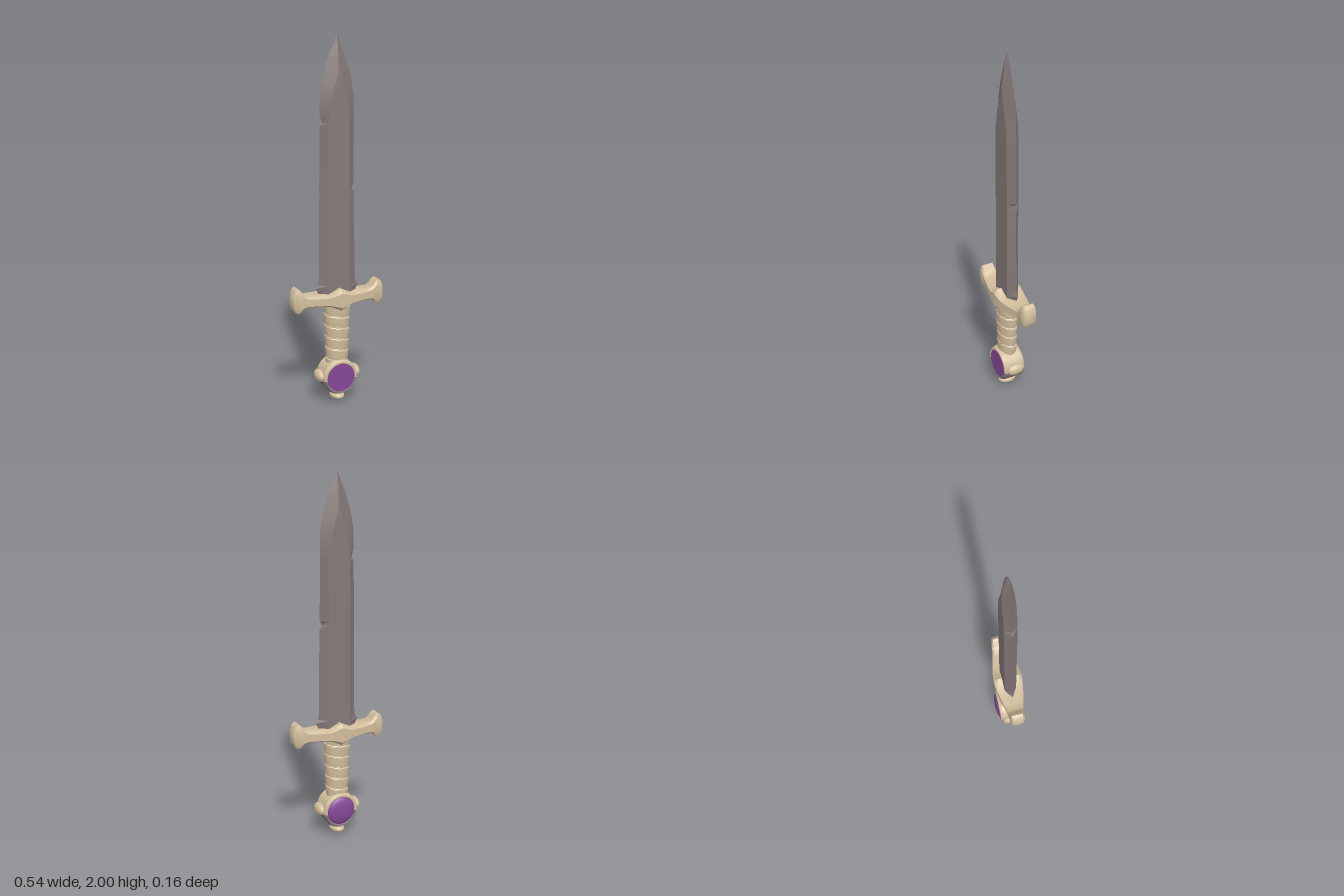
import * as THREE from 'three';
import { toCreasedNormals } from 'three/addons/utils/BufferGeometryUtils.js';

// Skin over a list of equal-length rings, with both ends closed
function loft(rings, crease) {
  const pos = [];
  const tri = (a, b, c) => pos.push(...a, ...b, ...c);
  const n = rings[0].length;
  for (let i = 0; i < rings.length - 1; i++) {
    for (let j = 0; j < n; j++) {
      const k = (j + 1) % n, lo = rings[i], hi = rings[i + 1];
      tri(lo[j], lo[k], hi[k]);
      tri(lo[j], hi[k], hi[j]);
    }
  }
  const first = rings[0], last = rings[rings.length - 1];
  for (let j = 1; j < n - 1; j++) {
    tri(first[0], first[j + 1], first[j]);
    tri(last[0], last[j], last[j + 1]);
  }
  const g = new THREE.BufferGeometry();
  g.setAttribute('position', new THREE.Float32BufferAttribute(pos, 3));
  return toCreasedNormals(g, crease);
}

export function createModel() {
  const group = new THREE.Group();
  const material = (name, color) => {
    const m = new THREE.MeshStandardMaterial({ color });
    m.name = name;
    return m;
  };
  const steel = material('steel', 0x857979);
  const bone = material('bone', 0xd2bf9d);
  const purple = material('purple', 0x854896);
  const add = (name, geometry, mat) => {
    const mesh = new THREE.Mesh(geometry, mat);
    mesh.name = name;
    group.add(mesh);
    return mesh;
  };

  // Blade: six-sided section with a nick in each edge [y, left, right, flat half width, half depth]
  const blade = [
    [0.62, 0.105, 0.105, 0.065, 0.034],
    [0.65, 0.115, 0.115, 0.065, 0.034],
    [0.665, 0.125, 0.125, 0.065, 0.034],
    [0.685, 0.11, 0.11, 0.065, 0.034],
    [0.72, 0.105, 0.106, 0.064, 0.034],
    [1.18, 0.1, 0.1, 0.061, 0.034],
    [1.21, 0.1, 0.085, 0.061, 0.034],
    [1.23, 0.1, 0.098, 0.061, 0.034],
    [1.54, 0.097, 0.095, 0.06, 0.034],
    [1.56, 0.083, 0.095, 0.06, 0.034],
    [1.6, 0.096, 0.095, 0.058, 0.034],
    [1.7, 0.094, 0.094, 0.038, 0.034],
    [1.76, 0.085, 0.085, 0.02, 0.033],
    [1.82, 0.071, 0.071, 0.003, 0.03],
    [1.9, 0.044, 0.044, 0.002, 0.02],
    [1.96, 0.019, 0.019, 0.001, 0.01],
    [2.0, 0.001, 0.001, 0.0005, 0.0005],
  ];
  add('blade', loft(blade.map(([y, l, r, f, z]) => [
    [r, y, 0], [f, y, -z], [-f, y, -z], [-l, y, 0], [-f, y, z], [f, y, z],
  ]), 0.35), steel);

  // Crossguard: bevelled bar with flared ends [x, bottom, top, half depth]
  const half = [
    [0, 0.545, 0.668, 0.082],
    [0.03, 0.56, 0.652, 0.08],
    [0.06, 0.573, 0.638, 0.076],
    [0.1, 0.577, 0.637, 0.068],
    [0.15, 0.578, 0.637, 0.056],
    [0.19, 0.576, 0.641, 0.047],
    [0.208, 0.565, 0.656, 0.044],
    [0.222, 0.552, 0.676, 0.043],
    [0.236, 0.548, 0.685, 0.042],
    [0.252, 0.556, 0.676, 0.039],
    [0.263, 0.575, 0.656, 0.033],
    [0.27, 0.6, 0.632, 0.015],
  ];
  const guard = [...half.slice(1).reverse().map(([x, ...rest]) => [-x, ...rest]), ...half];
  add('crossguard', loft(guard.map(([x, b, t, z]) => {
    const v = (t - b) * 0.16, d = z * 0.75;
    return [[x, t, -d], [x, t, d], [x, t - v, z], [x, b + v, z],
      [x, b, d], [x, b, -d], [x, b + v, -z], [x, t - v, -z]];
  }), 0.65), bone);

  // Grip: tapered oval with a helical wrap
  const grip = [];
  for (let i = 0; i <= 60; i++) {
    const t = i / 60, y = 0.23 + t * 0.35, ring = [];
    for (let j = 0; j < 28; j++) {
      const a = j / 28 * Math.PI * 2;
      const p = t * 5.5 + a / (Math.PI * 2);
      const s = 0.93 + 0.09 * Math.pow(p - Math.floor(p), 0.6);
      ring.push([Math.cos(a) * (0.063 + 0.013 * t) * s, y, -Math.sin(a) * (0.052 + 0.005 * t) * s]);
    }
    grip.push(ring);
  }
  add('grip', loft(grip, 0.6), bone);

  // Pommel: drum facing front and back, bone above and steel below
  const cy = 0.155;
  const drum = [[0.001, -0.057], [0.079, -0.057], [0.083, -0.064], [0.092, -0.064], [0.1, -0.05],
    [0.1, 0.05], [0.092, 0.064], [0.083, 0.064], [0.079, 0.057], [0.001, 0.057]]
    .map(([r, z]) => new THREE.Vector2(r, z));
  [['pommelLower', -1.45, 2.9, steel], ['pommelUpper', 1.45, Math.PI * 2 - 2.9, bone]]
    .forEach(([name, start, length, mat]) => {
      const g = new THREE.LatheGeometry(drum, 24, start, length).rotateX(Math.PI / 2);
      add(name, toCreasedNormals(g.toNonIndexed(), 0.5), mat).position.y = cy;
    });

  // Inlay on the front and domed jewel on the back
  const inlay = new THREE.CylinderGeometry(0.08, 0.08, 0.008, 32).rotateX(Math.PI / 2);
  add('frontInlay', inlay, purple).position.set(0, cy, 0.06);
  const jewel = new THREE.SphereGeometry(0.08, 32, 10, 0, Math.PI * 2, 0, Math.PI / 2)
    .scale(1, 0.3, 1).rotateX(-Math.PI / 2);
  add('backJewel', jewel, purple).position.set(0, cy, -0.057);

  // Rounded studs at both sides and the bottom
  const stud = (name, x, y, sx, sy, sz) => {
    const m = add(name, new THREE.SphereGeometry(1, 20, 14).scale(sx, sy, sz), bone);
    m.position.set(x, y, 0);
  };
  for (const side of [-1, 1]) stud(side > 0 ? 'leftStud' : 'rightStud', side * 0.105, 0.162, 0.026, 0.034, 0.053);
  stud('bottomStud', 0, 0.032, 0.04, 0.024, 0.055);
  const tip = new THREE.ConeGeometry(0.025, 0.025, 16).rotateX(Math.PI);
  add('bottomPoint', tip, bone).position.set(0, 0.0125, 0);

  return group;
}
